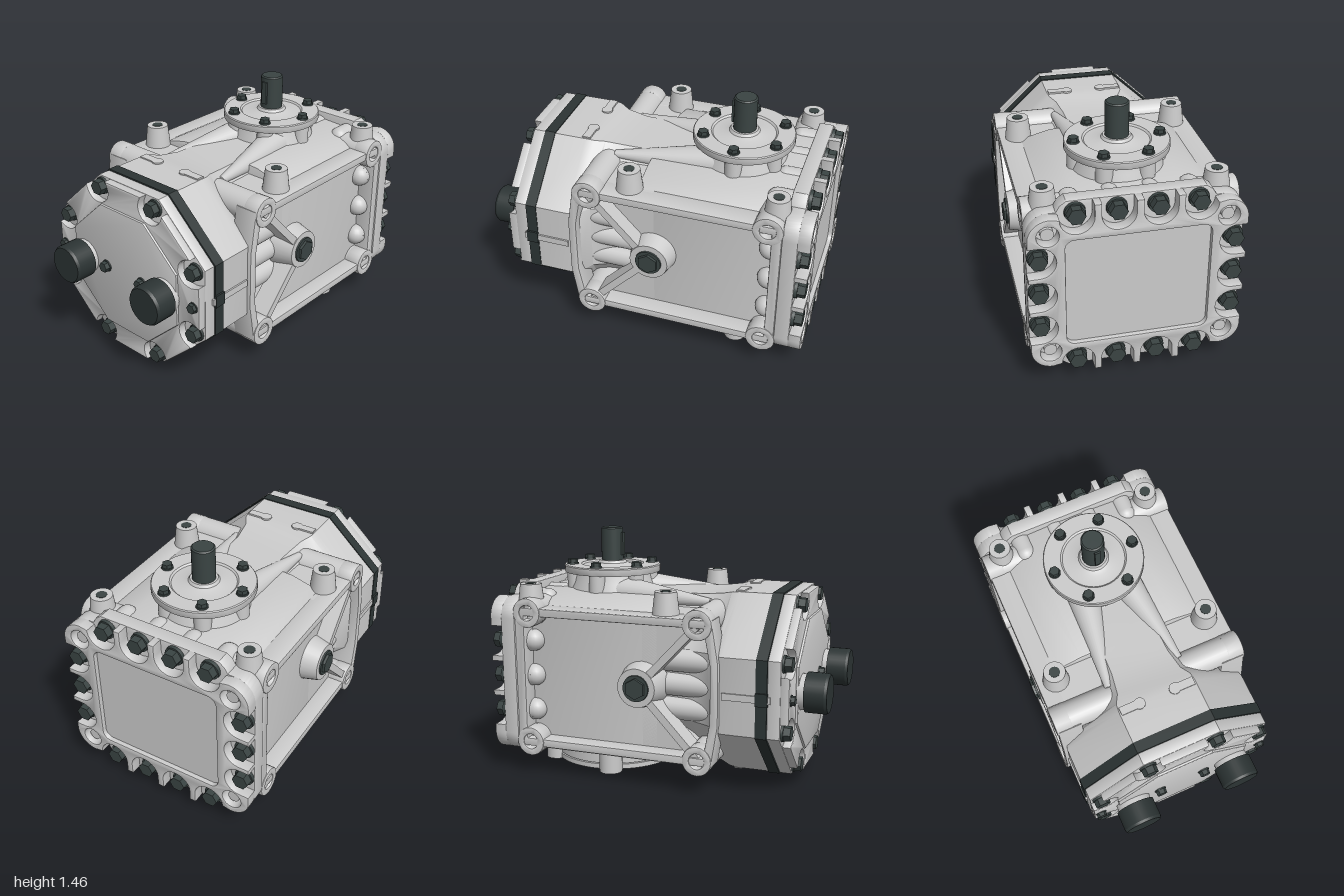
import * as THREE from 'three';
import { toCreasedNormals } from 'three/addons/utils/BufferGeometryUtils.js';

const CY = 0.605; // height of the housing axis
const PI = Math.PI;
const V = (x, y, z) => new THREE.Vector3(x, y, z);

export function createModel() {
  const model = new THREE.Group();
  const grey = new THREE.MeshStandardMaterial({ color: 0xcccccc });
  const dark = new THREE.MeshStandardMaterial({ color: 0x3a4443 });
  const black = new THREE.MeshStandardMaterial({ color: 0x2c3434 });

  function add(name, geo, mat = grey) {
    const m = new THREE.Mesh(geo, mat);
    m.name = name;
    model.add(m);
    return m;
  }
  // Round bar (or cone, or hex with few sides) between two points
  function rod(name, a, b, ra, rb = ra, mat = grey, sides = 28) {
    const d = b.clone().sub(a);
    let g = new THREE.CylinderGeometry(rb, ra, d.length(), sides);
    if (sides < 10) g = toCreasedNormals(g, 0.3);
    const m = add(name, g, mat);
    m.position.copy(a).add(b).multiplyScalar(0.5);
    m.quaternion.setFromUnitVectors(V(0, 1, 0), d.normalize());
    return m;
  }
  // Bar along x with a rounded left end
  function lump(name, x0, x1, y, z, r) {
    rod(name, V(x0, y, z), V(x1, y, z), r);
    add(name + 'End', new THREE.SphereGeometry(r, 20, 12)).position.set(x0, y, z);
  }
  function block(name, w, h, d, x, y, z, mat = grey) {
    const m = add(name, new THREE.BoxGeometry(w, h, d), mat);
    m.position.set(x, y, z);
    return m;
  }
  function extrude(shape, depth, b) {
    const g = new THREE.ExtrudeGeometry(shape, {
      depth: depth - 2 * b, bevelEnabled: b > 0, bevelSize: b, bevelThickness: b,
      bevelOffset: -b, bevelSegments: 2, curveSegments: 10 });
    return toCreasedNormals(g.translate(0, 0, b), 0.6);
  }
  // Plate standing across the x axis
  function slabX(name, shape, x0, x1, b = 0, mat = grey) {
    return add(name, extrude(shape, x1 - x0, b).rotateY(PI / 2).translate(x0, CY, 0), mat);
  }
  // Flanged hex bolt
  function bolt(name, p, dir, r, h) {
    rod(name + 'Washer', p, p.clone().addScaledVector(dir, h * 0.3), r * 1.12, r * 1.08, dark);
    rod(name + 'Head', p, p.clone().addScaledVector(dir, h), r, r * 0.95, dark, 6);
  }
  function roundRect(w, h, r, T = THREE.Shape) {
    const s = new T();
    s.absarc(w - r, h - r, r, 0, PI / 2);
    s.absarc(r - w, h - r, r, PI / 2, PI);
    s.absarc(r - w, r - h, r, PI, PI * 1.5);
    s.absarc(w - r, r - h, r, PI * 1.5, PI * 2);
    s.closePath();
    return s;
  }
  const circle = (T, x, y, r) => { const s = new T(); s.absarc(x, y, r, 0, PI * 2); return s; };
  const vec = (a) => a.map(([x, y]) => new THREE.Vector2(x, y));

  // ---- Neck: octagonal loft running from the left end into the body
  const rings = [[-0.636, 0.575, 0.535], [-0.44, 0.575, 0.535], [-0.39, 0.56, 0.53],
    [-0.33, 0.48, 0.515], [-0.2, 0.43, 0.5], [-0.05, 0.42, 0.5], [0.2, 0.42, 0.49]];
  const pos = [], idx = [];
  rings.forEach(([x, hz, hy], i) => {
    for (let j = 0; j < 8; j++) {
      const a = (j + 0.5) * PI / 4, R = 1 / Math.cos(PI / 8);
      pos.push(x, CY + Math.sin(a) * R * hy, Math.cos(a) * R * hz);
      if (i) {
        const p = (i - 1) * 8, k = (j + 1) % 8;
        idx.push(p + j, p + 8 + j, p + 8 + k, p + j, p + 8 + k, p + k);
      }
    }
  });
  const neck = new THREE.BufferGeometry();
  neck.setAttribute('position', new THREE.Float32BufferAttribute(pos, 3));
  neck.setIndex(idx);
  add('neck', toCreasedNormals(neck, 0.6));

  // ---- Main body with a gently crowned top, notched on the left behind the braces
  const W = 0.49; // half depth of the sunken side panels
  const half = [[W, 0.14], [W, 1.02], [0.43, 1.05], [0.3, 1.085], [0.12, 1.095]];
  const core = new THREE.Shape(vec([...half, ...half.map(([z, y]) => [-z, y]).reverse()]
    .map(([z, y]) => [z, y - CY])));
  slabX('body', core, -0.03, 0.86, 0.01);
  for (const tri of [[[-0.31, 1.03], [0.07, 0.62], [0.07, 1.03]], [[-0.31, 0.17], [0.07, 0.17], [0.07, 0.59]]])
    add('bodyShoulder', extrude(new THREE.Shape(vec(tri)), 2 * W, 0)).position.z = -W;

  // ---- Side frames, corner bosses, braces and centre plug
  const outer = [[-0.385, 0.18], [0.84, 0.18], [0.84, 1.03], [-0.385, 1.03], [-0.425, 0.78], [-0.425, 0.43]];
  const inner = [[-0.335, 0.23], [0.78, 0.23], [0.78, 0.98], [-0.335, 0.98], [-0.375, 0.77], [-0.375, 0.44]];
  const frame = new THREE.Shape(vec(outer));
  frame.holes.push(new THREE.Path(vec(inner)));
  for (const s of [1, -1]) {
    add('sideFrame', extrude(frame, 0.15, 0.01)).position.z = s > 0 ? 0.445 : -0.595;
    for (const x of [-0.3, 0.76]) for (const y of [0.21, 1.0]) {
      const ring = circle(THREE.Shape, 0, 0, 0.088);
      ring.holes.push(circle(THREE.Path, 0, 0, 0.046));
      add('cornerBoss', extrude(ring, 0.1, 0.006)).position.set(x, y, s > 0 ? 0.5 : -0.6);
      rod('cornerColumn', V(x, y, s * 0.2), V(x, y, s * 0.545), 0.086);
    }
    for (const t of [1, -1]) {
      const dy = 0.395 * t, len = Math.hypot(0.37, dy);
      const brace = block('brace', len, 0.045, 0.13, -0.115, CY + dy / 2, s * 0.52);
      brace.rotation.z = Math.atan2(-dy, 0.37);
    }
    rod('plugBoss', V(0.07, CY, s * 0.44), V(0.07, CY, s * 0.59), 0.15, 0.115);
    rod('plugWasher', V(0.07, CY, s * 0.58), V(0.07, CY, s * 0.6), 0.08, 0.078, dark);
    rod('plug', V(0.07, CY, s * 0.58), V(0.07, CY, s * 0.615), 0.066, 0.062, dark, 6);
    // Cast lumps in the recess and along the neck
    for (const y of [0.75, 0.605, 0.46])
      rod('castRib', V(-0.42, y, s * 0.41), V(-0.02, y, s * 0.41), 0.07);
    block('neckRib', 0.28, 0.04, 0.03, -0.58, CY, s * 0.57);
    block('neckPad', 0.07, 0.075, 0.06, -0.67, CY, s * 0.56, black);
    // Bosses behind the right flange
    for (const y of [0.39, 0.605, 0.82]) lump('flangeBoss', 0.765, 0.86, y, s * 0.5, 0.066);
    for (const z of [0.112, 0.335]) for (const y of [0.16, 1.05]) lump('flangeBoss', 0.75, 0.86, y, s * z, 0.06);
    // Tapered mounting posts on top
    for (const x of [-0.075, 0.785]) {
      rod('topPost', V(x, 0.98, s * 0.48), V(x, 1.16, s * 0.48), 0.085, 0.064);
      rod('topPostHole', V(x, 1.15, s * 0.48), V(x, 1.162, s * 0.48), 0.032, 0.032, dark);
    }
    // Ribs flaring up to the shaft pedestal, and neck lugs
    rod('topRib', V(-0.26, 1.065, s * 0.225), V(0.36, 1.075, s * 0.125), 0.022, 0.105);
    for (const y of [0.092, 1.118]) {
      block('neckLug', 0.05, 0.06, 0.12, -0.44, y, s * 0.17);
      rod('neckLugEnd', V(-0.44, y - 0.03, s * 0.11), V(-0.44, y + 0.03, s * 0.11), 0.034);
    }
  }

  // ---- Right flange: base plate plus face plate with bolt pockets
  const base = new THREE.Shape(), face = new THREE.Shape(), r = 0.092;
  for (const s of [1, -1]) {
    const o = s > 0 ? 0 : PI; // second pass is the first turned half round
    const arc = (p, x, y, rad, a, b, cw) => p.absarc(s * x, s * y, rad, a + o, b + o, cw);
    const line = (p, x, y) => p.lineTo(s * x, s * y);
    if (s > 0) { base.moveTo(0.6, -0.3); face.moveTo(0.6, -0.33); }
    arc(base, 0.48, 0.355, 0.12, 0, PI / 2);
    [[0.435, 0.475], [0.415, 0.51], [0.38, 0.535], [-0.38, 0.535], [-0.415, 0.51], [-0.435, 0.475]]
      .forEach(([x, y]) => line(base, x, y));
    arc(base, -0.48, 0.355, 0.12, PI / 2, PI);
    for (const y of [-0.215, 0, 0.215]) {
      line(face, 0.6, y - r);
      arc(face, 0.54, y, r, -PI / 2, -1.5 * PI, true);
      line(face, 0.6, y + r);
    }
    arc(face, 0.48, 0.355, 0.12, 0, PI / 2);
    [0.335, 0.112, -0.112, -0.335].forEach((x, i) => {
      if (i) line(face, x + r, 0.535);
      arc(face, x, 0.465, r, 0, -PI, true);
      if (i < 3) line(face, x - r, 0.535);
    });
    arc(face, -0.48, 0.355, 0.12, PI / 2, PI);
  }
  face.holes.push(roundRect(0.4, 0.335, 0.05, THREE.Path));
  for (const u of [-0.49, 0.49]) for (const v of [-0.375, 0.375])
    face.holes.push(circle(THREE.Path, u, v, 0.06));
  slabX('rightFlange', base, 0.84, 0.93, 0.008);
  slabX('rightFacePlate', face, 0.925, 1.0, 0.006);
  slabX('rightPanel', roundRect(0.41, 0.345, 0.05), 0.92, 0.972);
  const px = V(1, 0, 0), nx = V(-1, 0, 0), up = V(0, 1, 0);
  for (const s of [1, -1]) {
    for (const z of [0.112, 0.335, -0.112, -0.335]) bolt('flangeBolt', V(0.93, CY + s * 0.47, z), px, 0.052, 0.064);
    for (const y of [0.39, 0.605, 0.82]) bolt('flangeBolt', V(0.93, y, s * 0.54), px, 0.052, 0.064);
    for (const y of [0.23, 0.98]) rod('flangeInsert', V(0.92, y, s * 0.49), V(0.975, y, s * 0.49), 0.036);
  }

  // ---- Left end: gasket, cover and pocketed face
  const oct = (k, bite) => {
    const p = new THREE.Shape();
    for (let j = 0; j < 8; j++) {
      const a = (j + 0.5) * PI / 4, pt = (rad, t) => new THREE.Vector2(
        1.07 * (rad * Math.cos(a) - t * Math.sin(a)), rad * Math.sin(a) + t * Math.cos(a));
      const list = bite ? [pt(0.545, -0.08)] : [pt(0.579 * k, 0)];
      if (bite) {
        for (let i = 0; i <= 10; i++) {
          const f = PI * i / 10;
          list.push(pt(0.51 - 0.08 * Math.sin(f), -0.08 * Math.cos(f)));
        }
        list.push(pt(0.545, 0.08));
      }
      list.forEach((q, i) => (j || i ? p.lineTo(q.x, q.y) : p.moveTo(q.x, q.y)));
    }
    p.closePath();
    return p;
  };
  slabX('gasket', oct(1.012), -0.7, -0.635, 0, black);
  slabX('leftCover', oct(1), -0.775, -0.7, 0.006);
  slabX('leftCoverFace', oct(1, true), -0.825, -0.77, 0.012);
  slabX('leftCoverPad', oct(0.73), -0.84, -0.82, 0.008);
  for (let j = 0; j < 8; j++) {
    const a = (j + 0.5) * PI / 4;
    bolt('coverBolt', V(-0.77, CY + 0.515 * Math.sin(a), 0.55 * Math.cos(a)), nx, 0.046, 0.058);
  }
  for (const s of [1, -1]) {
    const z = s * 0.325;
    bolt('coverStud', V(-0.835, CY, s * 0.145), nx, 0.033, 0.04);
    bolt('coverStud', V(-0.82, CY, s * 0.53), nx, 0.03, 0.03);
    rod('portCollar', V(-0.83, CY, z), V(-0.88, CY, z), 0.105);
    rod('portCap', V(-0.87, CY, z), V(-0.985, CY, z), 0.117, 0.117, black, 32);
    rod('portCapRim', V(-0.985, CY, z), V(-1, CY, z), 0.117, 0.108, black, 32);
  }

  // ---- Shaft pedestal, flange, seal and drive shaft
  const sx = 0.465;
  const lathe = [[0.3, 0.95], [0.275, 1.06], [0.245, 1.13], [0.23, 1.19], [0.298, 1.19], [0.3, 1.194], [0.3, 1.23],
    [0.295, 1.236], [0.195, 1.236], [0.185, 1.226], [0.12, 1.23], [0.09, 1.242], [0.08, 1.258], [0, 1.258]];
  add('shaftPedestal', toCreasedNormals(new THREE.LatheGeometry(vec(lathe), 48), 0.6)).position.x = sx;
  for (let i = 0; i < 6; i++) {
    const a = PI / 2 + i * PI / 3, c = Math.cos(a), n = Math.sin(a);
    bolt('shaftFlangeBolt', V(sx + 0.248 * c, 1.235, 0.248 * n), up, 0.032, 0.032);
    rod('pedestalRib', V(sx + 0.235 * c, 1.0, 0.235 * n), V(sx + 0.235 * c, 1.2, 0.235 * n), 0.05);
  }
  rod('shaft', V(sx, 1.25, 0), V(sx, 1.455, 0), 0.068, 0.068, dark);
  rod('shaftTip', V(sx, 1.455, 0), V(sx, 1.462, 0), 0.068, 0.06, dark);
  block('shaftKey', 0.03, 0.14, 0.035, sx - 0.063, 1.36, 0, dark);

  // ---- Bottom cover with four bolted lobes
  const bx = 0.445;
  rod('bottomSocket', V(bx, 0.045, 0), V(bx, 0.16, 0), 0.39, 0.39, grey, 56);
  rod('bottomCover', V(bx, 0.01, 0), V(bx, 0.04, 0), 0.395, 0.395, grey, 56);
  for (const [deg, top] of [[73, 0.18], [143, 0.12], [253, 0.18], [323, 0.12]]) {
    const a = deg * PI / 180, x = bx + 0.4 * Math.cos(a), z = 0.4 * Math.sin(a);
    rod('bottomLobe', V(x, 0.004, z), V(x, top, z), 0.07);
    rod('bottomBolt', V(x, 0, z), V(x, 0.02, z), 0.04, 0.04, dark, 6);
  }
  return model;
}
